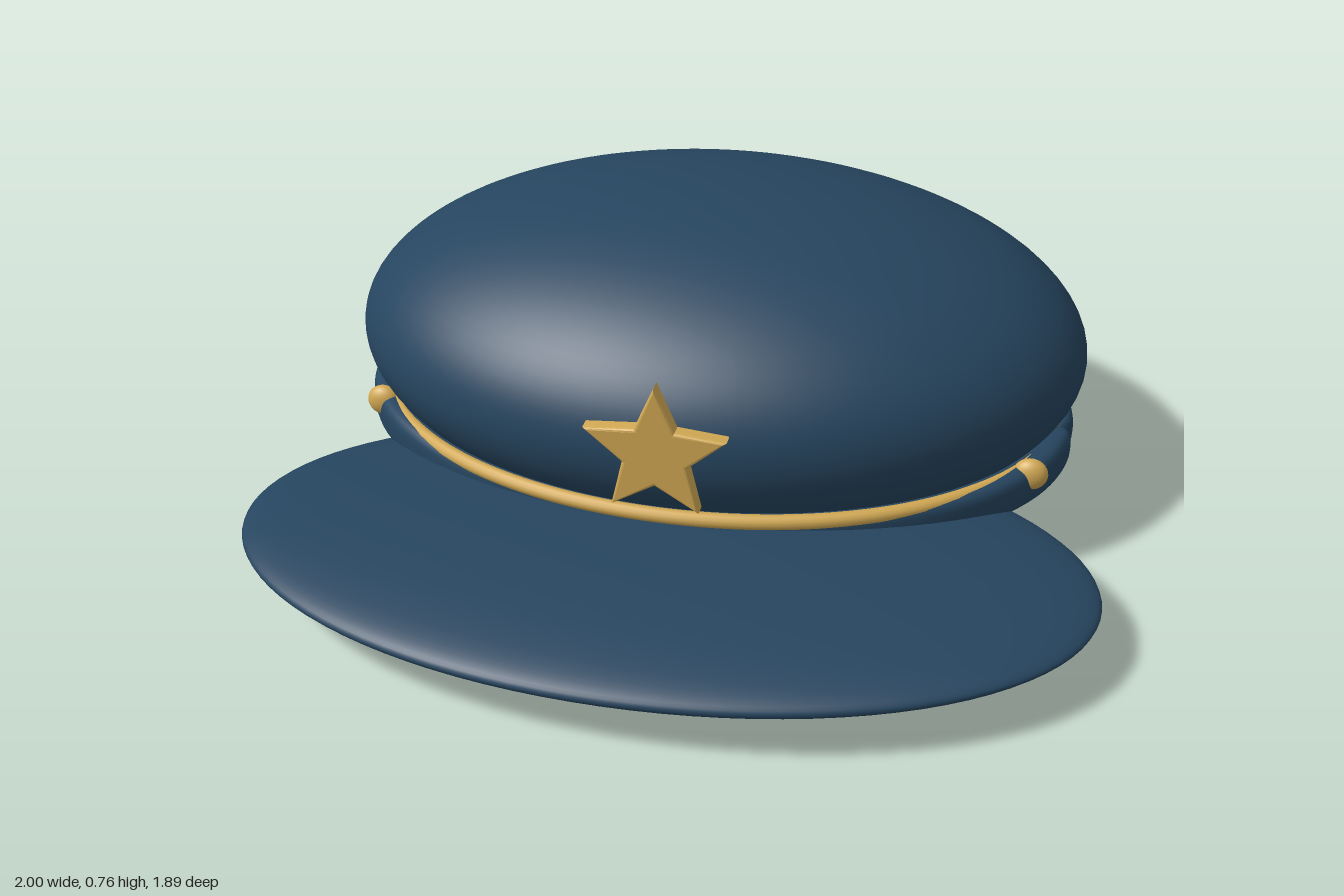
import * as THREE from 'three';

const navy = new THREE.MeshStandardMaterial({ color: 0x26455f });
navy.name = 'navy cloth';
const gold = new THREE.MeshStandardMaterial({ color: 0xd2a954 });
gold.name = 'gold trim';

const SPLIT_Z = -0.24; // where the front and back band halves meet

function part(name, geometry, material, x = 0, y = 0, z = 0) {
  const mesh = new THREE.Mesh(geometry, material);
  mesh.name = name;
  mesh.position.set(x, y, z);
  return mesh;
}

function ellipsoid(rx, ry, rz, segments = 96) {
  return new THREE.SphereGeometry(1, segments, segments / 2).scale(rx, ry, rz);
}

// Half an elliptical ring with a rounded-box section and ends that taper shut
function halfBand(rx, rz, halfWidth, halfHeight, middleAngle) {
  const along = 96, around = 28, taper = 0.045;
  const positions = [], index = [];
  const soften = (c) => Math.sign(c) * Math.pow(Math.abs(c), 0.6);
  for (let i = 0; i <= along; i++) {
    const a = middleAngle + (Math.PI / 2) * Math.sin(Math.PI * (i / along - 0.5));
    const normal = new THREE.Vector2(Math.sin(a) / rx, Math.cos(a) / rz).normalize();
    const fromEnd = Math.abs(rz * Math.cos(a));
    const k = Math.max(0, 1 - fromEnd / taper);
    const s = Math.max(0.08, Math.sqrt(1 - k * k));
    for (let j = 0; j < around; j++) {
      const b = (j / around) * Math.PI * 2;
      const u = halfWidth * s * soften(Math.cos(b));
      const v = halfHeight * s * soften(Math.sin(b));
      positions.push(rx * Math.sin(a) + normal.x * u, v, rz * Math.cos(a) + normal.y * u);
      if (i < along) {
        const p = i * around + j, q = i * around + (j + 1) % around;
        index.push(p, p + around, q, q, p + around, q + around);
      }
    }
  }
  const geometry = new THREE.BufferGeometry();
  geometry.setAttribute('position', new THREE.Float32BufferAttribute(positions, 3));
  geometry.setIndex(index);
  geometry.computeVertexNormals();
  return geometry;
}

// Thin cord that rises a little towards the front
function cordGeometry() {
  const points = [];
  for (let i = 0; i <= 32; i++) {
    const a = (i / 32 - 0.5) * Math.PI;
    points.push(new THREE.Vector3(0.84 * Math.sin(a), 0.225 + 0.007 * Math.cos(a), SPLIT_Z + 0.61 * Math.cos(a)));
  }
  return new THREE.TubeGeometry(new THREE.CatmullRomCurve3(points), 96, 0.018, 12);
}

function starGeometry() {
  const bevel = 0.008;
  const shape = new THREE.Shape();
  for (let i = 0; i < 10; i++) {
    const r = i % 2 ? 0.069 : 0.16;
    const a = Math.PI / 2 + (i * Math.PI) / 5;
    if (i === 0) shape.moveTo(r * Math.cos(a), r * Math.sin(a));
    else shape.lineTo(r * Math.cos(a), r * Math.sin(a));
  }
  shape.closePath();
  return new THREE.ExtrudeGeometry(shape, {
    depth: 0.024, bevelEnabled: true, bevelThickness: bevel, bevelSize: bevel, bevelSegments: 3,
  }).translate(0, 0, -0.012);
}

export function createModel() {
  const cap = new THREE.Group();
  cap.name = 'peakedCap';

  // Soft crown and flat visor
  cap.add(part('crown', ellipsoid(0.91, 0.38, 0.675), navy, 0, 0.39, -0.27));
  cap.add(part('visor', ellipsoid(1, 0.078, 0.55), navy, 0, 0.14, 0.395));

  // Band in two halves, notched at the sides
  cap.add(part('frontBand', halfBand(0.845, 0.565, 0.05, 0.052, 0), navy, 0, 0.193, SPLIT_Z));
  cap.add(part('backBand', halfBand(0.845, 0.655, 0.05, 0.052, Math.PI), navy, 0, 0.193, SPLIT_Z));

  // Gold cord, side buttons and star badge
  cap.add(part('cord', cordGeometry(), gold));
  for (const [name, side] of [['leftButton', 1], ['rightButton', -1]]) {
    cap.add(part(name, ellipsoid(0.042, 0.04, 0.027, 32), gold, side * 0.807, 0.226, 0));
  }
  cap.add(part('starBadge', starGeometry(), gold, 0, 0.435, 0.425));

  return cap;
}
